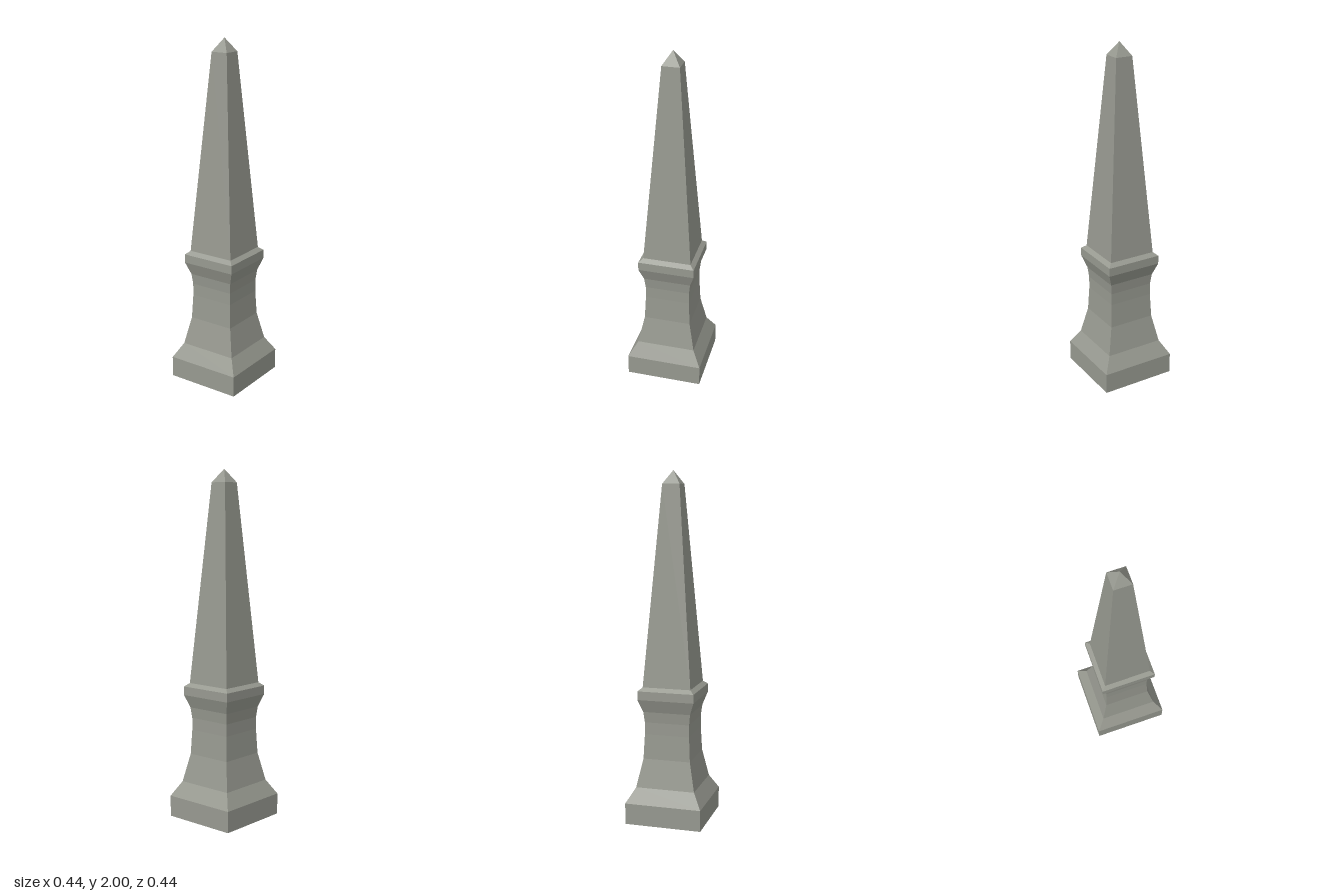
import * as THREE from 'three';

const stone = new THREE.MeshStandardMaterial({ color: 0x979990 });
stone.name = 'weathered grey stone';

// Square-sectioned solid from [half width, height] pairs, listed bottom to top
function squareProfile(name, pairs) {
  const points = pairs.map(([w, y]) => new THREE.Vector2(w * Math.SQRT2, y));
  const geometry = new THREE.LatheGeometry(points, 4, Math.PI / 4).toNonIndexed();
  geometry.computeVertexNormals(); // crisp flat faces
  const mesh = new THREE.Mesh(geometry, stone);
  mesh.name = name;
  return mesh;
}

export function createModel() {
  const model = new THREE.Group();
  model.name = 'obelisk';

  model.add(
    // Plinth block with its closed underside and sloped shoulder
    squareProfile('plinth', [[0, 0], [0.222, 0], [0.222, 0.122], [0.172, 0.208]]),
    // Flared, waisted pedestal
    squareProfile('pedestal', [[0.172, 0.208], [0.138, 0.372], [0.131, 0.515], [0.131, 0.585], [0.138, 0.647]]),
    // Projecting collar under the shaft
    squareProfile('collar', [[0.138, 0.647], [0.164, 0.72], [0.164, 0.77], [0.14, 0.79]]),
    // Tapered needle
    squareProfile('shaft', [[0.14, 0.79], [0.05, 1.925]]),
    // Pyramid tip
    squareProfile('cap', [[0.05, 1.925], [0, 2]]),
  );
  return model;
}
